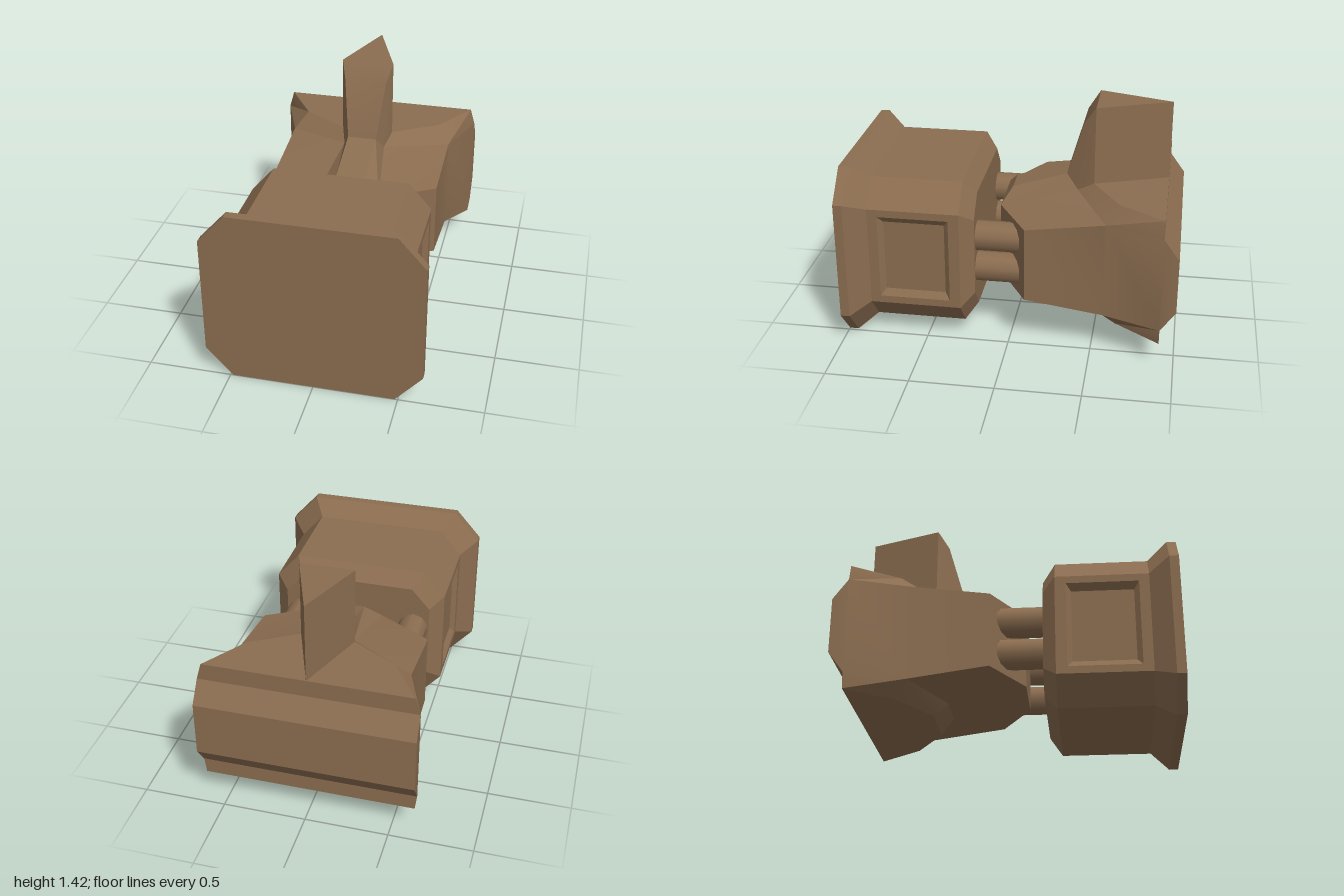
import * as THREE from 'three';
import { toCreasedNormals } from 'three/addons/utils/BufferGeometryUtils.js';

const brown = new THREE.MeshStandardMaterial({ color: 0x8b6d50 });
brown.name = 'brown';

// Mesh from polygons (corner lists, counter-clockwise from outside), each cut into a fan
function polyMesh(name, faces, crease = 0.4) {
  const pos = [];
  for (const f of faces)
    for (let i = 1; i < f.length - 1; i++) pos.push(...f[0], ...f[i], ...f[i + 1]);
  const g = new THREE.BufferGeometry();
  g.setAttribute('position', new THREE.Float32BufferAttribute(pos, 3));
  const mesh = new THREE.Mesh(toCreasedNormals(g, crease), brown);
  mesh.name = name;
  return mesh;
}

const flip = p => [-p[0], p[1], p[2]];
const mid = p => [0, p[1], p[2]];
const mirrored = faces => faces.concat(faces.map(f => f.map(flip).reverse()));

// Chamfered rectangle at depth z, counter-clockwise from the front, starting at lower right
function octagon(z, hx, y0, y1, cx, cy) {
  return [[hx, y0 + cy], [hx, y1 - cy], [hx - cx, y1], [cx - hx, y1],
    [-hx, y1 - cy], [-hx, y0 + cy], [cx - hx, y0], [hx - cx, y0]].map(([x, y]) => [x, y, z]);
}

function createStrikingBlock() {
  const rings = [
    octagon(1, 0.642, 0, 1.093, 0.16, 0.18),
    octagon(0.945, 0.642, 0, 1.093, 0.16, 0.18),
    octagon(0.83, 0.545, 0.085, 1.01, 0.135, 0.155),
    octagon(0.28, 0.545, 0.085, 1.01, 0.135, 0.155),
    octagon(0.205, 0.465, 0.18, 0.92, 0.115, 0.13),
  ];
  const faces = [rings[0], [...rings[4]].reverse()];
  for (let r = 0; r < 4; r++) {
    for (let i = 0; i < 8; i++) {
      if (r === 2 && i % 4 === 0) continue; // flat sides get a recessed panel
      const j = (i + 1) % 8, a = rings[r], b = rings[r + 1];
      faces.push([a[i], b[i], b[j], a[j]]);
    }
  }
  // Recessed side panels: frame, sloping walls and floor
  const rect = (x, z0, z1, y0, y1) => [[x, y0, z1], [x, y0, z0], [x, y1, z0], [x, y1, z1]];
  const steps = [rect(0.545, 0.28, 0.83, 0.24, 0.855), rect(0.545, 0.345, 0.77, 0.285, 0.81),
    rect(0.515, 0.375, 0.74, 0.325, 0.77)];
  const panel = [steps[2]];
  for (let s = 0; s < 2; s++)
    for (let i = 0; i < 4; i++) {
      const j = (i + 1) % 4;
      panel.push([steps[s][i], steps[s][j], steps[s + 1][j], steps[s + 1][i]]);
    }
  return polyMesh('strikingBlock', faces.concat(mirrored(panel)));
}

function createHead() {
  // Nose ridge and fin, from front to back
  const n0 = [0.19, 0.775, 0.09], n1 = [0.09, 0.86, 0.03], n2 = [0.09, 0.965, -0.3];
  const n3 = [0.13, 1.31, -0.4], n4 = [0.162, 1.416, -0.47], finTop = [0, 1.422, -0.91];
  const g = [0.13, 0.88, -0.37], f = [0.162, 0.94, -0.47], finBase = [0, 0.94, -0.91];
  // Upper shoulder and rear
  const s0 = [0.518, 0.775, -0.1], s1 = [0.518, 0.84, -0.57], t = [0.44, 0.94, -0.64];
  const r = [0.615, 0.94, -0.91], r1 = [0.645, 0.835, -0.91], r2 = [0.645, 0.71, -1];
  // Lower half
  const r3 = [0.645, 0.375, -1], r4 = [0.645, 0.25, -0.91], r5 = [0.633, 0.155, -0.91];
  const b0 = [0.19, 0.315, 0.09], bs0 = [0.518, 0.315, -0.1], bs1 = [0.518, 0.25, -0.57];
  const bg = [0.13, 0.245, -0.38], bf = [0.162, 0.155, -0.46], bt = [0.44, 0.155, -0.64];

  const body = [
    [mid(b0), b0, n0, mid(n0)], [b0, bs0, s0, n0],              // nose front
    [n0, s0, s1, g], [g, s1, t, f], [f, t, r, finBase], [s1, r1, r, t], // top
    [s0, bs0, bs1, s1], [s1, bs1, r4, r1], [r1, r4, r3, r2],    // side
    [b0, bg, bs1, bs0], [bg, bf, bt, bs1], [bt, r5, r4, bs1],   // underside
    [mid(bf), mid(r5), r5, bt, bf],
    [mid(b0), mid(bg), bg, b0], [mid(bg), mid(bf), bf, bg],
  ];
  const back = [r, r1, r2, r3, r4, r5];
  for (let i = 0; i < 5; i++)
    body.push([back[i], back[i + 1], mid(back[i + 1]), mid(back[i])]);

  const fin = [[n0, g, n2, n1], [g, f, n4, n3, n2], [f, finBase, finTop, n4], [mid(n4), n4, finTop]];
  const spine = [n0, n1, n2, n3, n4];
  for (let i = 0; i < 4; i++)
    fin.push([mid(spine[i]), spine[i], spine[i + 1], mid(spine[i + 1])]);

  const head = new THREE.Group();
  head.name = 'head';
  head.add(polyMesh('headBody', mirrored(body)), polyMesh('noseAndFin', mirrored(fin)));
  return head;
}

// Four rods joining the block to the head
function createRods() {
  const rods = new THREE.Group();
  rods.name = 'connectingRods';
  const geo = new THREE.CylinderGeometry(0.092, 0.092, 0.34, 10).rotateX(Math.PI / 2);
  for (const x of [-0.365, 0.365])
    for (const y of [0.445, 0.65]) {
      const rod = new THREE.Mesh(geo, brown);
      rod.name = 'rod';
      rod.position.set(x, y, 0.06);
      rods.add(rod);
    }
  return rods;
}

export function createModel() {
  const model = new THREE.Group();
  model.name = 'hammerHead';
  model.add(createStrikingBlock(), createRods(), createHead());
  return model;
}
